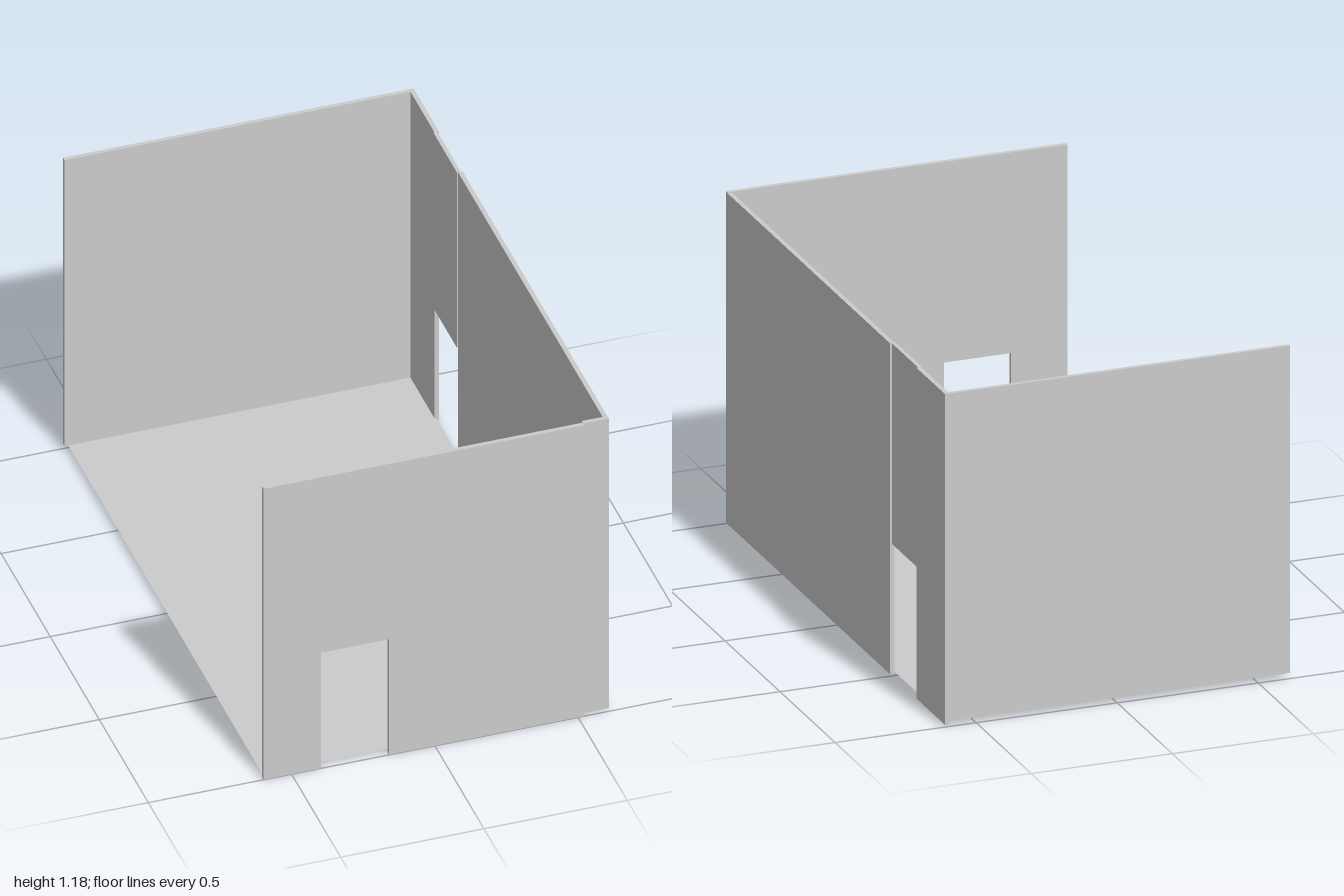
import * as THREE from 'three';

const material = new THREE.MeshStandardMaterial({ color: 0xcccccc, flatShading: true });
const floorMaterial = new THREE.MeshStandardMaterial({ color: 0xcccccc, side: THREE.DoubleSide });

// Box given by its minimum and maximum along each axis
function slab(name, [x0, x1], [y0, y1], [z0, z1]) {
  const geometry = new THREE.BoxGeometry(x1 - x0, y1 - y0, z1 - z0);
  const mesh = new THREE.Mesh(geometry, material);
  mesh.name = name;
  mesh.position.set((x0 + x1) / 2, (y0 + y1) / 2, (z0 + z1) / 2);
  return mesh;
}

// Panel outline with a doorway cut up from its bottom edge, extruded to thickness
function doorPanel(u0, u1, d0, d1, bottom, doorTop, top, thickness) {
  const shape = new THREE.Shape([
    [u0, bottom], [d0, bottom], [d0, doorTop], [d1, doorTop],
    [d1, bottom], [u1, bottom], [u1, top], [u0, top],
  ].map(([u, v]) => new THREE.Vector2(u, v)));
  return new THREE.ExtrudeGeometry(shape, { depth: thickness, bevelEnabled: false });
}

export function createModel() {
  const model = new THREE.Group();
  model.name = 'openRoom';
  const top = 1.178, doorTop = 0.468;

  // Thin floor sheet, raised just above the wall feet
  const floor = new THREE.Mesh(new THREE.PlaneGeometry(1.2, 1.98), floorMaterial);
  floor.name = 'floor';
  floor.rotation.x = -Math.PI / 2;
  floor.position.y = 0.02;
  model.add(floor);

  // Front wall with doorway, plus the slightly recessed corner strip
  const front = new THREE.Group();
  front.name = 'frontWall';
  const panel = new THREE.Mesh(
    doorPanel(-0.598, 0.52, -0.398, -0.16, 0, doorTop, top, 0.016), material);
  panel.name = 'frontDoorPanel';
  panel.position.z = 0.984;
  front.add(panel, slab('frontCorner', [0.52, 0.61], [0.007, 1.18], [0.977, 0.992]));
  model.add(front);

  // Side wall: two full-height panels with a lintel set inward over the doorway
  const side = new THREE.Group();
  side.name = 'sideWall';
  side.add(
    slab('sideMainPanel', [0.594, 0.61], [0.007, top], [-0.5, 0.992]),
    slab('sideRearPanel', [0.594, 0.61], [0.007, top], [-0.74, -1].reverse()),
    slab('sideLintel', [0.59, 0.604], [doorTop, top], [-0.74, -0.5]),
  );
  model.add(side);

  // Plain back wall
  model.add(slab('backWall', [-0.613, 0.606], [0.02, top], [-1, -0.985]));
  return model;
}
